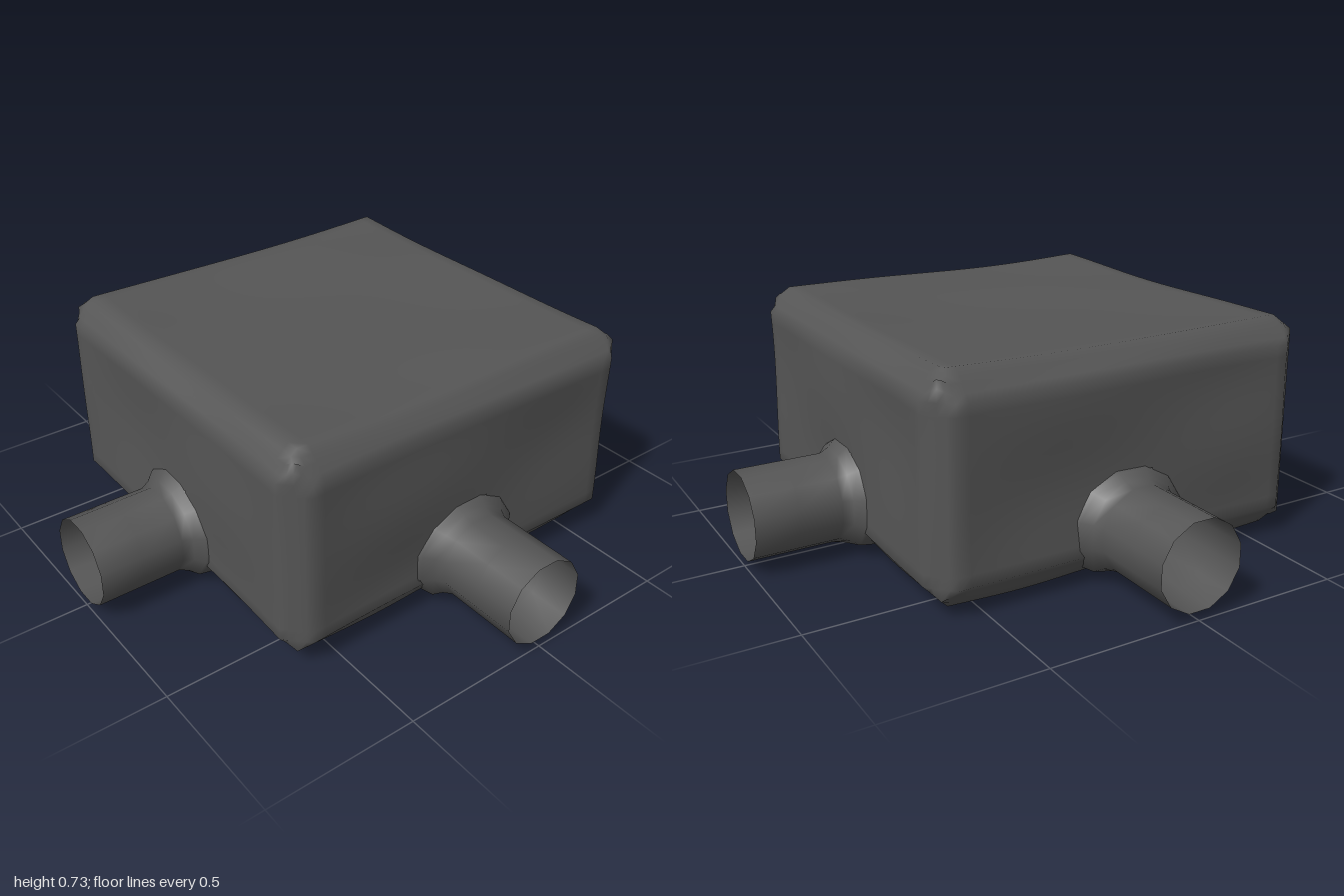
import * as THREE from 'three';
import { mergeVertices } from 'three/addons/utils/BufferGeometryUtils.js';

const HALF = [0.67, 0.355, 0.67];
const MID_Y = 0.375;
const BEVEL = 0.08;
const TUBE_Y = 0.17;
const TUBE_R = 0.14;

const material = new THREE.MeshStandardMaterial({ color: 0x555555, side: THREE.DoubleSide });

// Gentle unevenness of the rock, fading to nothing at the edges of a wall
function sag(u, v, seed) {
  const fade = (1 - u ** 4) * (1 - v ** 4);
  return fade * (0.012 + 0.008 * Math.sin(4 * u + seed) * Math.cos(3 * v + 2 * seed));
}

// Hollow bevelled room with a doorway in each of its four walls
function roomGeometry() {
  let geo = new THREE.BoxGeometry(HALF[0] * 2, HALF[1] * 2, HALF[2] * 2, 34, 18, 34);
  geo.deleteAttribute('uv');
  geo.deleteAttribute('normal');
  geo = mergeVertices(geo);
  const pos = geo.attributes.position;
  for (let i = 0; i < pos.count; i++) {
    const p = [pos.getX(i), pos.getY(i), pos.getZ(i)];
    const n = p.map((c, k) => c / HALF[k]);
    const onFace = n.map((c) => Math.abs(c) > 0.999);
    // cut the edges at 45 degrees
    for (const [a, b] of [[0, 2], [0, 1], [1, 2]]) {
      const over = Math.abs(p[a]) + Math.abs(p[b]) - (HALF[a] + HALF[b] - BEVEL);
      if (over > 0) {
        p[a] -= Math.sign(p[a]) * over / 2;
        p[b] -= Math.sign(p[b]) * over / 2;
      }
    }
    // uneven walls, sagging roof and lumpy floor
    if (onFace[0]) p[0] -= Math.sign(p[0]) * sag(n[1], n[2], n[0]);
    if (onFace[2]) p[2] -= Math.sign(p[2]) * sag(n[0], n[1], 2 + n[2]);
    if (onFace[1] && n[1] > 0) {
      p[1] += 0.01 - 0.012 * Math.cos(n[0] * 1.5) - 0.012 * Math.cos(n[2] * 1.5)
        + 0.005 * Math.sin(5 * n[0] + 1) * Math.sin(4 * n[2]);
    } else if (onFace[1]) {
      p[1] -= 0.01 * (Math.sin(Math.PI * n[0]) ** 2 + Math.sin(Math.PI * n[2]) ** 2);
    }
    pos.setXYZ(i, p[0], p[1] + MID_Y, p[2]);
  }
  geo.computeVertexNormals();

  // open the doorways
  const kept = [];
  const index = geo.index;
  for (let t = 0; t < index.count; t += 3) {
    const tri = [0, 1, 2].map((k) => index.getX(t + k));
    const c = new THREE.Vector3();
    tri.forEach((v) => c.add(new THREE.Vector3().fromBufferAttribute(pos, v)));
    c.divideScalar(3);
    const door = (along, across) => Math.abs(along) > 0.615
      && Math.hypot(across, c.y - TUBE_Y) < 0.165;
    if (!door(c.z, c.x) && !door(c.x, c.z)) kept.push(...tri);
  }
  geo.setIndex(kept);
  return geo;
}

// Open tunnel along +z, flaring where it meets the wall
function tunnelGeometry() {
  const sides = 12;
  const rings = [[1, 1], [0.86, 1], [0.72, 1], [0.69, 1.12], [0.665, 1.32], [0.645, 1.42]];
  const verts = [];
  const faces = [];
  rings.forEach(([z, scale], r) => {
    for (let i = 0; i < sides; i++) {
      const a = ((i + 0.5) / sides) * Math.PI * 2;
      const x = Math.sin(a) * TUBE_R * scale / Math.cos(Math.PI / sides);
      const rise = Math.cos(a) / Math.cos(Math.PI / sides);
      const y = Math.max(TUBE_Y + rise * TUBE_R * (1 + (scale - 1) * 0.7), 0.025);
      const isLow = rise < -0.6 && r === rings.length - 1;
      verts.push(x, y, isLow ? 0.59 : z);
      if (r > 0) {
        const j = (i + 1) % sides;
        const [a0, a1, b0, b1] = [(r - 1) * sides + i, (r - 1) * sides + j, r * sides + i, r * sides + j];
        faces.push(a0, b0, a1, a1, b0, b1);
      }
    }
  });
  const geo = new THREE.BufferGeometry();
  geo.setAttribute('position', new THREE.Float32BufferAttribute(verts, 3));
  geo.setIndex(faces);
  geo.computeVertexNormals();
  // keep the winding facing outwards
  const n = geo.attributes.normal;
  if (n.getX(2) * verts[6] < 0) {
    geo.setIndex(faces.slice().reverse());
    geo.computeVertexNormals();
  }
  return geo;
}

export function createModel() {
  const model = new THREE.Group();
  model.name = 'caveRoom';

  const room = new THREE.Mesh(roomGeometry(), material);
  room.name = 'room';
  model.add(room);

  // one tunnel on each side
  const tunnel = tunnelGeometry();
  ['frontTunnel', 'leftTunnel', 'backTunnel', 'rightTunnel'].forEach((name, i) => {
    const mesh = new THREE.Mesh(tunnel, material);
    mesh.name = name;
    mesh.rotation.y = (i * Math.PI) / 2;
    model.add(mesh);
  });
  return model;
}
